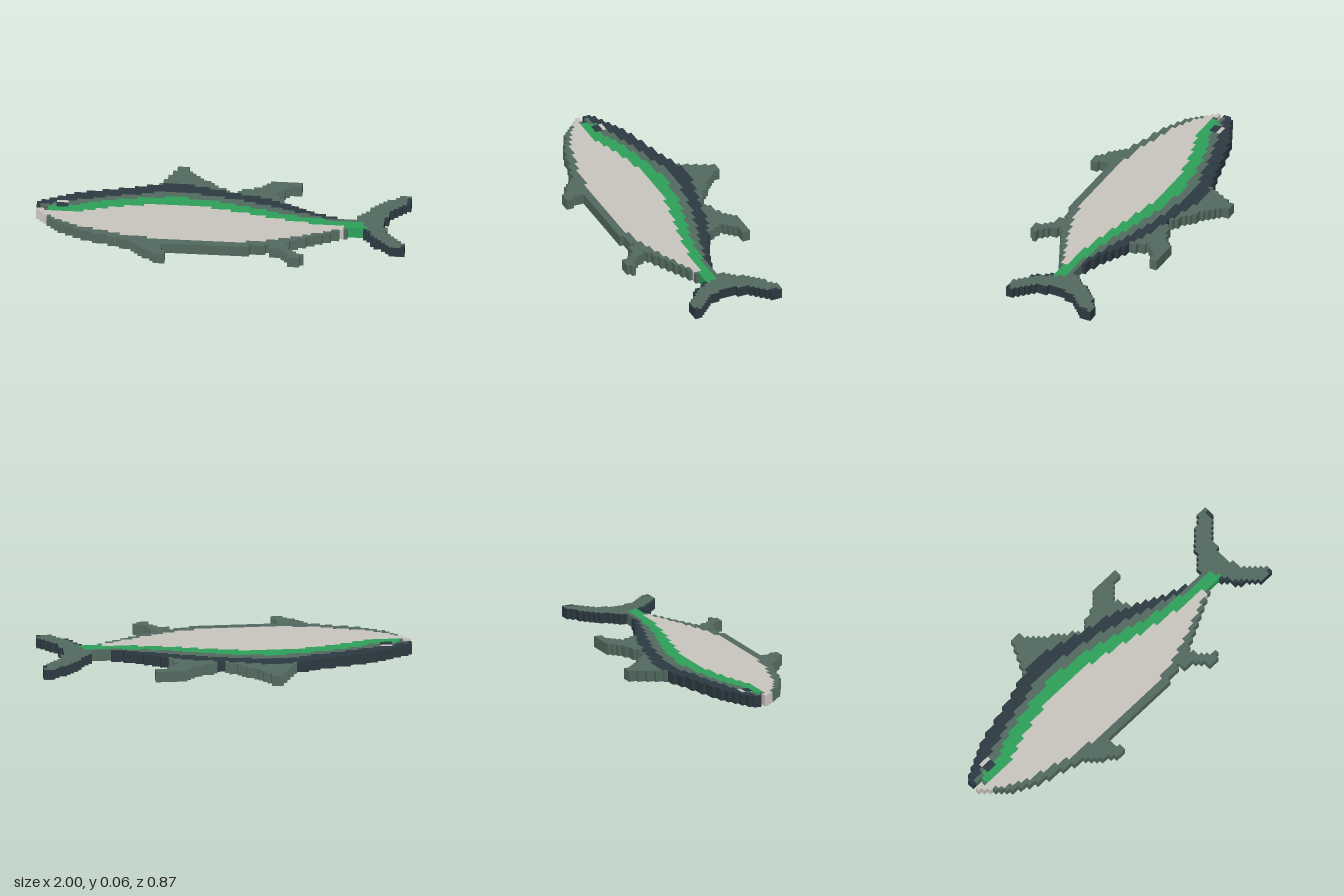
import * as THREE from 'three';
import { mergeGeometries } from 'three/addons/utils/BufferGeometryUtils.js';

// Flat pixel-style fish: part outlines are rasterised to a grid and each run of cells becomes a box.
const COLS = 94, ROWS = 41, CELL = 2 / COLS, THICK = 0.06;

const mat = (name, color) => {
  const m = new THREE.MeshStandardMaterial({ color });
  m.name = name;
  return m;
};

// Smooth boundary along the body, from snout to tail, through a few [x, z] points
const curve = (points) => new THREE.SplineCurve(points.map(([x, z]) => new THREE.Vector2(x, z)))
  .getPoints(60).map((p) => [p.x, p.y]);
const band = (top, bottom) => [...top, ...[...bottom].reverse()];
const rect = (x, z, w, d) => [[x, z], [x + w, z], [x + w, z + d], [x, z + d]];

function inside(poly, x, z) {
  let hit = false;
  poly.forEach(([xi, zi], i) => {
    const [xj, zj] = poly.at(i - 1);
    if ((zi > z) !== (zj > z) && x < ((xj - xi) * (z - zi)) / (zj - zi) + xi) hit = !hit;
  });
  return hit;
}

export function createModel() {
  const navy = mat('navy', 0x2c3a42);
  const slate = mat('slateGreen', 0x536b60);
  const green = mat('green', 0x2fa35a);
  const pale = mat('paleGrey', 0xcbc6c0);

  // Body boundaries
  const back = curve([[-1.01, -0.02], [-0.8, -0.13], [-0.5, -0.212], [-0.25, -0.264], [0.05, -0.2],
    [0.25, -0.15], [0.58, -0.01], [0.73, 0]]);
  const flankTop = curve([[-1.01, 0.012], [-0.8, -0.06], [-0.5, -0.138], [-0.28, -0.182], [0, -0.15],
    [0.3, -0.07], [0.58, 0.01], [0.73, 0.02]]);
  const stripeTop = curve([[-0.94, 0.035], [-0.91, 0], [-0.8, -0.01], [-0.7, -0.05], [-0.4, -0.12],
    [-0.15, -0.125], [0.05, -0.09], [0.4, 0], [0.77, 0.04]]);
  const paleTop = curve([[-1.01, 0.034], [-0.8, 0.06], [-0.65, 0.01], [-0.3, -0.062], [0, -0.03],
    [0.4, 0.055], [0.66, 0.083]]);
  const keel = curve([[-0.94, 0.11], [-0.8, 0.21], [-0.6, 0.275], [-0.4, 0.325], [0.1, 0.33],
    [0.35, 0.265], [0.5, 0.2], [0.72, 0.09]]);
  const paleBottom = [[-1.01, 0.05], ...keel.filter(([x]) => x < 0.66).map(([x, z]) => [x, z * 0.85])];

  // Fins
  const firstDorsal = [[-0.38, -0.2], [-0.37, -0.25], [-0.32, -0.31], [-0.3, -0.38], [-0.265, -0.44],
    [-0.235, -0.44], [-0.15, -0.34], [0.04, -0.2]];
  const secondDorsal = [[0.03, -0.18], [0.08, -0.23], [0.2, -0.28], [0.24, -0.325], [0.405, -0.325],
    [0.405, -0.3], [0.33, -0.27], [0.285, -0.22], [0.29, -0.175], [0.36, -0.08]];
  const pelvic = [[-0.5, 0.28], [-0.41, 0.385], [-0.365, 0.395], [-0.34, 0.435], [-0.29, 0.435],
    [-0.27, 0.39], [-0.305, 0.385], [-0.31, 0.3]];
  const anal = [[0.26, 0.26], [0.28, 0.32], [0.35, 0.345], [0.39, 0.405], [0.45, 0.41], [0.48, 0.38],
    [0.42, 0.365], [0.34, 0.25]];

  // Tail: one lobe mirrored about its centre line
  const lobe = [[0.72, 0.05], [0.76, 0.07], [0.82, 0.16], [0.88, 0.21], [0.94, 0.257], [1.01, 0.257],
    [1.01, 0.21], [0.95, 0.17], [0.9, 0.105], [0.88, 0.04]];
  const tail = band(lobe.map(([x, d]) => [x, 0.018 - d]), lobe.map(([x, d]) => [x, 0.018 + d]));
  const lowerEdge = lobe.slice(1, 4).map(([x, d]) => [x, 0.018 + d]);
  const tailEdge = band(lowerEdge, lowerEdge.map(([x, z]) => [x + 0.018, z]));

  // Later parts paint over earlier ones; a part without material cuts a gap
  const parts = [
    ['firstDorsalFin', slate, firstDorsal],
    ['secondDorsalFin', slate, secondDorsal],
    ['pelvicFin', slate, pelvic],
    ['analFin', slate, anal],
    ['tailFin', slate, tail],
    ['tailDarkEdge', navy, tailEdge],
    ['upperTailTip', navy, rect(0.98, -0.23, 0.03, 0.04)],
    ['lowerTailTip', navy, rect(0.98, 0.235, 0.03, 0.04)],
    ['back', navy, band(back, flankTop)],
    ['flankAndBelly', slate, band(flankTop, keel)],
    ['sideStripe', green, band(stripeTop, [[-0.94, 0.06], [-0.8, 0.08], [0.6, 0.1], [0.78, 0.095]])],
    ['paleSide', pale, band(paleTop, paleBottom)],
    ['mouth', null, rect(-1.01, 0.012, 0.08, 0.022)],
    ['eyeRing', pale, rect(-0.885, -0.06, 0.065, 0.07)],
    ['pupil', navy, rect(-0.885, -0.04, 0.045, 0.054)],
  ];

  // Paint the grid
  const grid = Array.from({ length: ROWS }, (_, r) => Array.from({ length: COLS }, (_, c) => {
    const x = (c + 0.5) * CELL - 1, z = (r + 0.5 - ROWS / 2) * CELL;
    return parts.findLastIndex(([, , poly]) => inside(poly, x, z));
  }));

  // Boxes for every run of cells of one part, between two heights
  const slab = (index, y0, y1) => {
    const boxes = [];
    grid.forEach((row, r) => {
      for (let c = 0; c < COLS; c++) {
        if (row[c] !== index) continue;
        const start = c;
        while (row[c + 1] === index) c++;
        const n = c + 1 - start;
        boxes.push(new THREE.BoxGeometry(n * CELL, y1 - y0, CELL).translate(
          (start + n / 2) * CELL - 1, (y0 + y1) / 2, (r + 0.5 - ROWS / 2) * CELL));
      }
    });
    return mergeGeometries(boxes);
  };

  const model = new THREE.Group();
  model.name = 'fish';
  const add = (name, geometry, material) => {
    const mesh = new THREE.Mesh(geometry, material);
    mesh.name = name;
    model.add(mesh);
  };

  parts.forEach(([name, material], i) => {
    if (!material) return;
    if (name === 'tailFin') {
      // Dark rim with slate faces above and below
      const skin = 0.003;
      add('tailRim', slab(i, skin, THICK - skin), navy);
      add('tailTopFace', slab(i, THICK - skin, THICK), slate);
      add('tailUnderFace', slab(i, 0, skin), slate);
    } else add(name, slab(i, 0, THICK), material);
  });
  return model;
}
